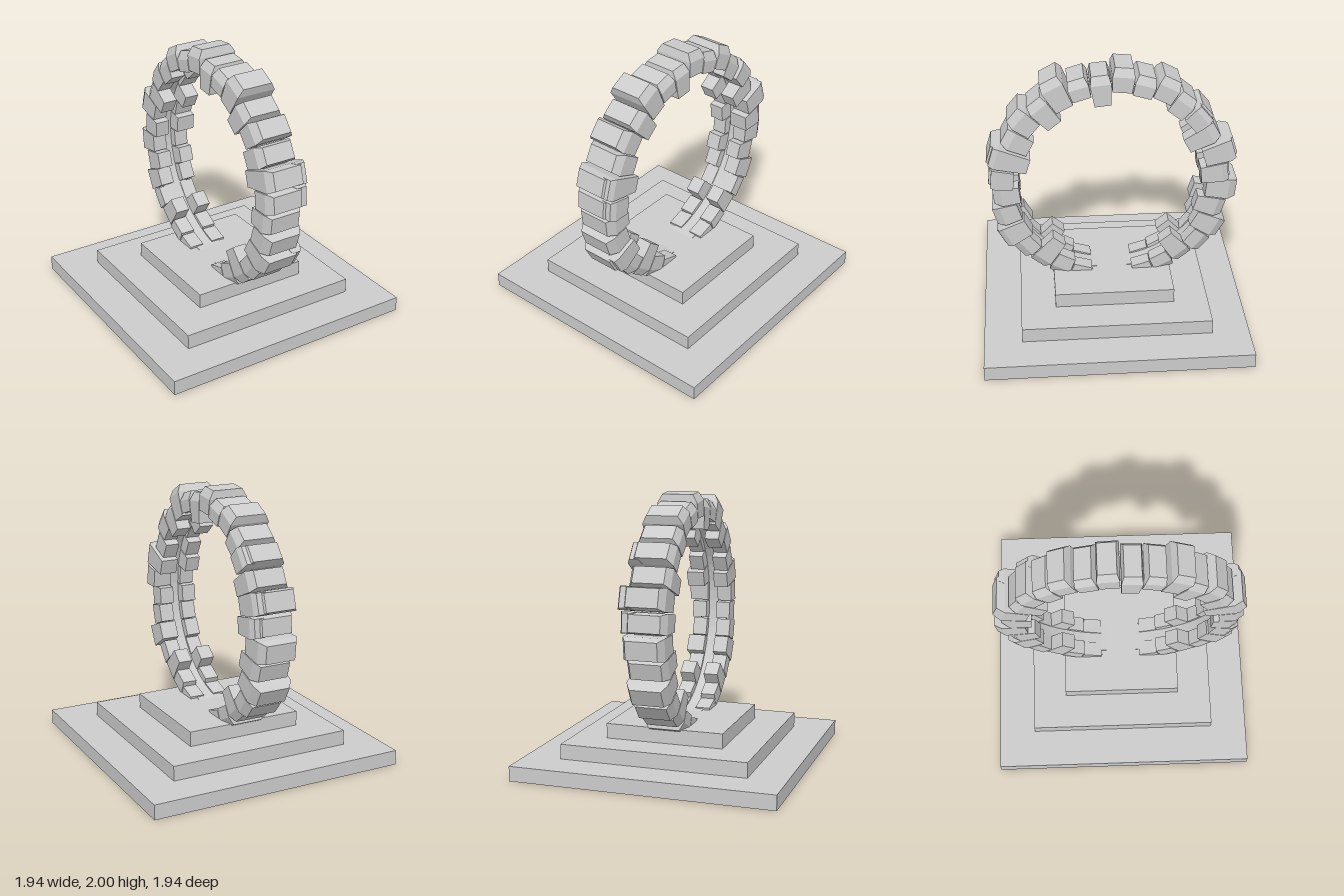
import * as THREE from 'three';

const CENTER_Y = 1.08;
const STEP = Math.PI / 16; // 32 stones in the ring
const LEFT = -0.16, RIGHT = 0.14;

// [inner radius, outer radius, optional proud side x], from the crown downwards
const FRONT_HALF = [
  [0.64, 0.86], [0.72, 0.87], [0.705, 0.945], [0.64, 0.87], [0.715, 0.91], [0.665, 0.87],
  [0.63, 0.925, 0.165], [0.715, 0.895, 0.175], [0.675, 0.87], [0.71, 0.9], [0.7, 0.93, 0.165],
  [0.74, 0.895], [0.62, 0.88], [0.71, 0.88], [0.745, 0.87], [0.76, 0.87],
];
const BACK_HALF = [
  [0.74, 0.915], [0.725, 0.875], [0.745, 0.92], [0.7, 0.875], [0.725, 0.89, 0.165], [0.615, 0.86],
  [0.695, 0.935, 0.175], [0.65, 0.865, 0.175], [0.695, 0.925], [0.645, 0.87], [0.695, 0.93],
  [0.75, 0.905], [0.63, 0.87], [0.73, 0.88], [0.745, 0.87], [0.76, 0.87],
];

function flat(geometry) {
  const g = geometry.toNonIndexed();
  g.computeVertexNormals();
  return g;
}

// Block between two radii, widening outwards, with a chamfered outer end
function wedge(x0, x1, r0, r1, bevelX, bevelR) {
  const g = new THREE.BoxGeometry(1, 1, 1, 1, 2, 1);
  const p = g.attributes.position;
  const radii = [r0, r1 - bevelR, r1];
  for (let i = 0; i < p.count; i++) {
    const level = Math.round((p.getY(i) + 0.5) * 2);
    const r = radii[level];
    const inset = level === 2 ? bevelX : 0;
    const half = radii[Math.min(level, 1)] * Math.tan(STEP / 2) * 0.95 - inset * 0.4;
    p.setXYZ(i, p.getX(i) < 0 ? x0 + inset : x1 - inset, r, Math.sign(p.getZ(i)) * half);
  }
  return flat(g);
}

export function createModel() {
  const model = new THREE.Group();
  const stone = new THREE.MeshStandardMaterial({ color: 0xcccccc, flatShading: true });
  const shell = new THREE.MeshStandardMaterial({ color: 0xcccccc, flatShading: true, side: THREE.DoubleSide });

  const add = (parent, name, geometry, material = stone) => {
    const mesh = new THREE.Mesh(geometry, material);
    mesh.name = name;
    parent.add(mesh);
    return mesh;
  };

  // Stepped square plinth, open underneath
  const profile = [[0.97, 0], [0.97, 0.11], [0.695, 0.11], [0.695, 0.22], [0.44, 0.22], [0.44, 0.33], [0, 0.33]]
    .map(([half, y]) => new THREE.Vector2(half * Math.SQRT2, y));
  const plinth = new THREE.LatheGeometry(profile, 4);
  plinth.rotateY(Math.PI / 4);
  add(model, 'steppedBase', flat(plinth), shell);

  const ring = new THREE.Group();
  ring.name = 'stoneRing';
  ring.position.y = CENTER_Y;
  model.add(ring);

  // Thin hoop joining the stones
  const hoop = new THREE.Shape().absarc(0, 0, 0.785, 0, Math.PI * 2);
  hoop.holes.push(new THREE.Path().absarc(0, 0, 0.758, 0, Math.PI * 2, true));
  const core = new THREE.ExtrudeGeometry(hoop, { depth: 0.2, bevelEnabled: false, curveSegments: 32 });
  core.translate(0, 0, -0.1).rotateY(Math.PI / 2).translate(-0.01, 0, 0);
  add(ring, 'coreHoop', core);

  // Each stone: a chamfered cap over two inward legs with a groove between
  [[FRONT_HALF, 1], [BACK_HALF, -1]].forEach(([half, side]) => {
    half.forEach(([inner, outer, proud], k) => {
      const block = new THREE.Group();
      block.name = 'ringStone';
      block.rotation.x = side * (k + 0.5) * STEP;
      add(block, 'stoneCap', wedge(LEFT, RIGHT, 0.775, outer, 0.035, 0.06));
      add(block, 'rightLeg', wedge(LEFT, -0.05, inner, 0.78, 0, 0.005));
      add(block, 'leftLeg', wedge(0.03, RIGHT, inner, 0.78, 0, 0.005));
      // Some stones carry a slab standing proud of the face
      if (proud) add(block, 'proudSlab', wedge(0.06, proud, inner, outer - 0.015, 0.02, 0.04));
      ring.add(block);
    });
  });

  return model;
}
